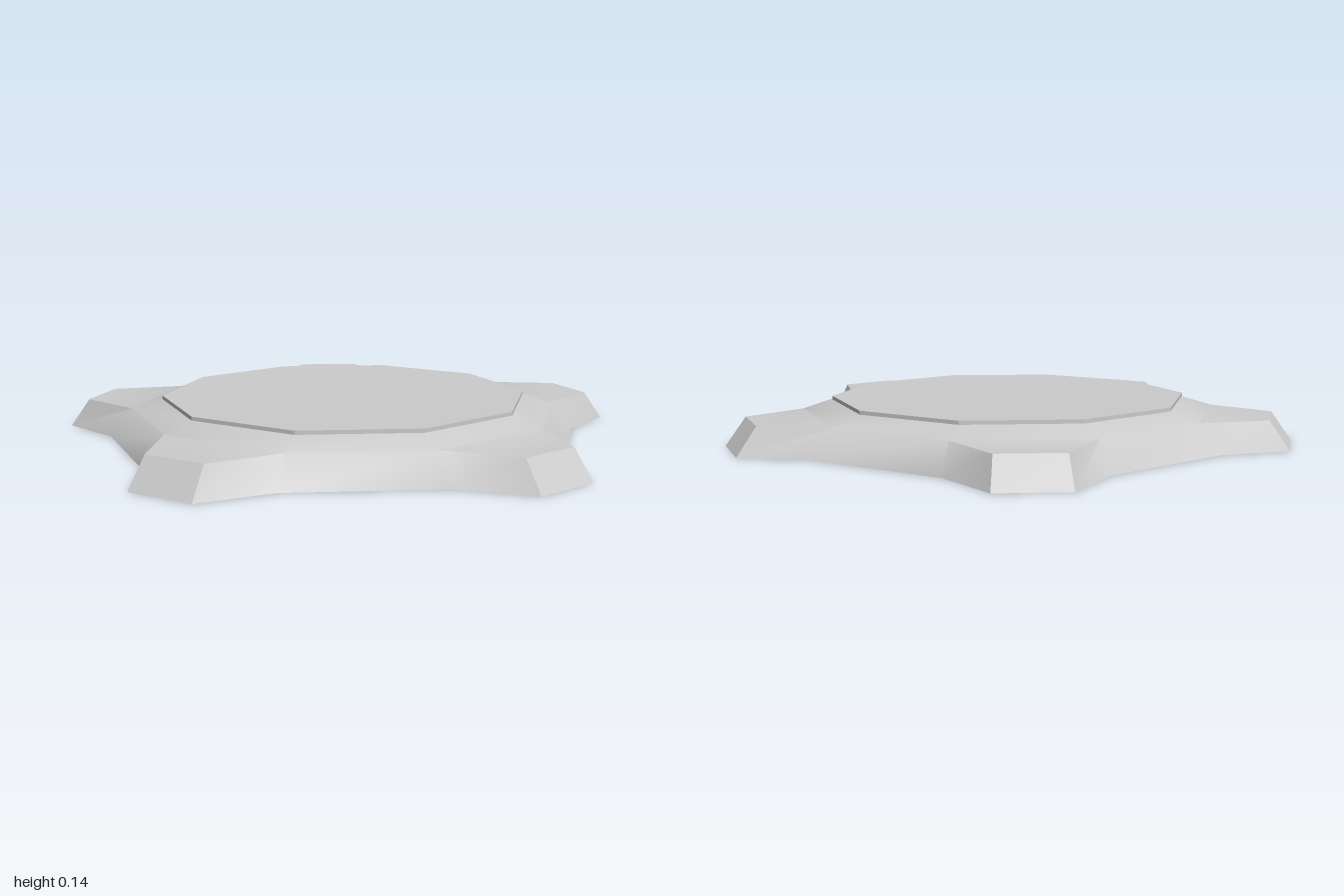
import * as THREE from 'three';
import { toCreasedNormals } from 'three/addons/utils/BufferGeometryUtils.js';

const ARMS = 5;
const STEP = (Math.PI * 2) / ARMS;
const CENTRE_Z = 0.058;
const CREASE = THREE.MathUtils.degToRad(45);

// Point in an arm's own frame (sideways, height, outward), turned to that arm; arm 0 points back
function armPoint(arm, side, y, out) {
  const a = arm * STEP, s = Math.sin(a), c = Math.cos(a);
  return [side * c + out * s, y, side * s - out * c];
}

// One level of the star outline: four points per arm
function starRing(y, valleyR, tipHalf, tipOut) {
  const vx = valleyR * Math.sin(STEP / 4), vz = valleyR * Math.cos(STEP / 4);
  const ring = [];
  for (let i = 0; i < ARMS; i++) {
    ring.push(armPoint(i, -vx, y, vz), armPoint(i, -tipHalf, y, tipOut),
      armPoint(i, tipHalf, y, tipOut), armPoint(i, vx, y, vz));
  }
  return ring;
}

// Open shell: sloping star-shaped wall, flat arm tops, and a collar rising to the plate
function skirtGeometry() {
  const foot = starRing(0, 0.83, 0.12, 1.01);
  const shoulder = starRing(0.1, 0.75, 0.11, 0.94);
  const collar = starRing(0.132, 0.645, 0.11, 0.94);
  const pos = [];
  const quad = (a, b, c, d) => pos.push(...a, ...b, ...c, ...a, ...c, ...d);
  const n = foot.length;

  for (let i = 0; i < n; i++) {
    const j = (i + 1) % n;
    quad(shoulder[i], shoulder[j], foot[j], foot[i]);
  }
  for (let i = 0; i < n; i += 4) {
    const e = i + 3, next = (i + 4) % n;
    quad(shoulder[e], shoulder[i + 2], shoulder[i + 1], shoulder[i]); // arm top
    quad(collar[i], collar[e], shoulder[e], shoulder[i]);             // collar behind arm
    quad(collar[e], collar[next], shoulder[next], shoulder[e]);       // collar between arms
  }
  const geo = new THREE.BufferGeometry();
  geo.setAttribute('position', new THREE.Float32BufferAttribute(pos, 3));
  return toCreasedNormals(geo, CREASE);
}

// Ten-sided plate, very slightly dished, with a rim hanging down inside the skirt
function plateGeometry() {
  const profile = [[0.645, 0.065], [0.645, 0.145], [0.57, 0.143], [0.3, 0.141], [0, 0.14]]
    .map(([r, y]) => new THREE.Vector2(r, y));
  return toCreasedNormals(new THREE.LatheGeometry(profile, ARMS * 2, STEP / 4), THREE.MathUtils.degToRad(30));
}

export function createModel() {
  const material = new THREE.MeshStandardMaterial({ color: 0xcccccc, side: THREE.DoubleSide });
  const model = new THREE.Group();
  model.name = 'fiveArmedBase';

  const parts = { skirt: skirtGeometry(), topPlate: plateGeometry() };
  for (const [name, geometry] of Object.entries(parts)) {
    const mesh = new THREE.Mesh(geometry, material);
    mesh.name = name;
    mesh.position.z = CENTRE_Z;
    model.add(mesh);
  }
  return model;
}
